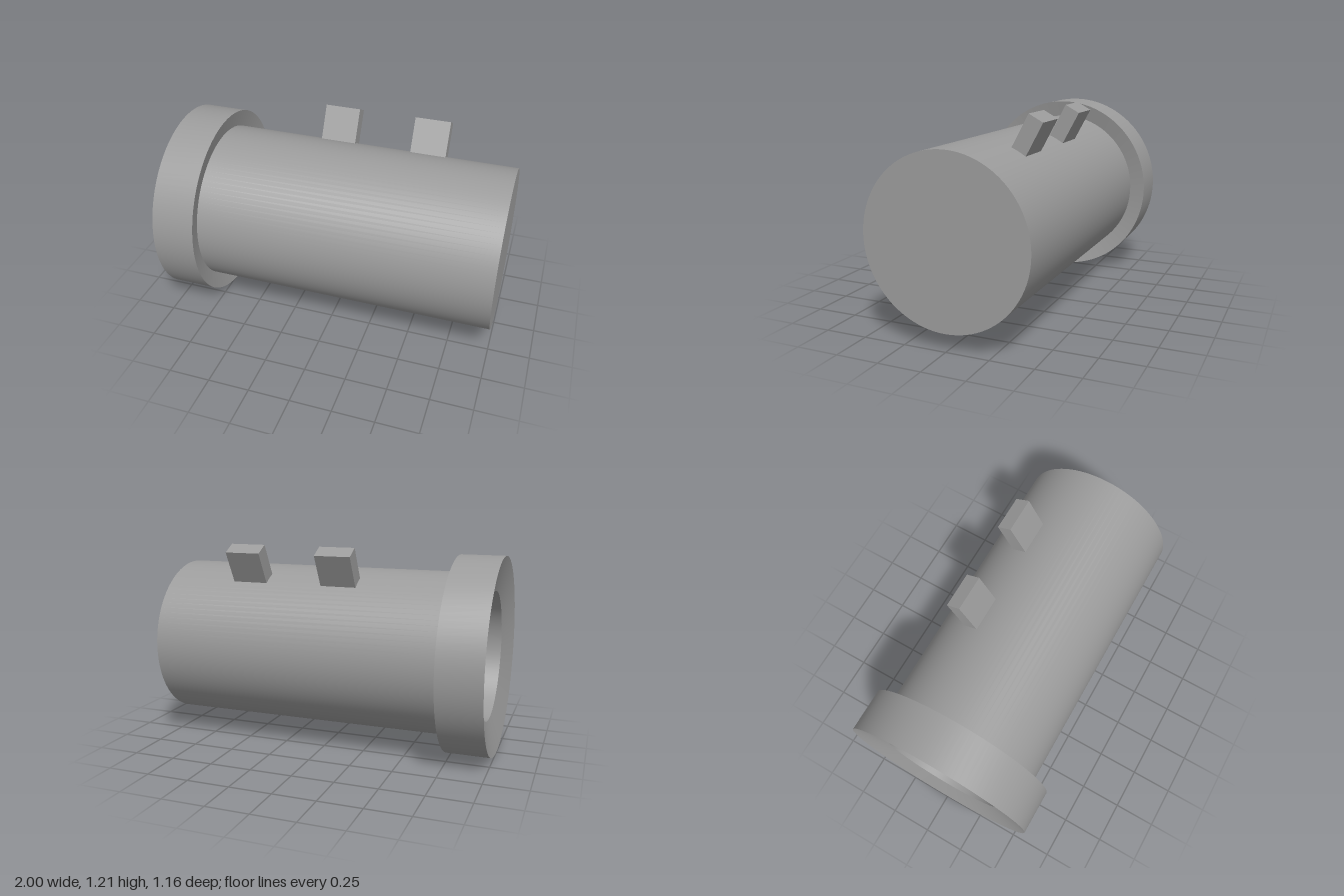
import * as THREE from 'three';
import { toCreasedNormals } from 'three/addons/utils/BufferGeometryUtils.js';

const AXIS_Y = 0.582;
const material = new THREE.MeshStandardMaterial({ color: 0x9c9c9c });

// Turned part about the x axis; profile points are [radius, x]
function turned(name, profile) {
  const points = profile.map(([r, x]) => new THREE.Vector2(r, x));
  const geometry = toCreasedNormals(new THREE.LatheGeometry(points, 96), 0.35);
  geometry.rotateZ(-Math.PI / 2);
  const mesh = new THREE.Mesh(geometry, material);
  mesh.name = name;
  return mesh;
}

export function createModel() {
  const model = new THREE.Group();
  model.name = 'tubeHousing';
  const assembly = new THREE.Group();
  assembly.name = 'assembly';
  assembly.position.y = AXIS_Y;
  model.add(assembly);

  // Solid barrel; its open end is covered by the collar
  assembly.add(turned('barrel', [[0.481, -0.763], [0.481, 1], [0, 1]]));

  // Collar with dished faces on both sides and a round recess
  assembly.add(turned('collar', [
    [0, -0.75], [0.38, -0.75], [0.38, -0.948], [0.582, -1], [0.582, -0.74], [0.481, -0.763],
  ]));

  // Two radial lugs, tilted towards the back
  const lugs = new THREE.Group();
  lugs.name = 'lugs';
  lugs.rotation.x = -THREE.MathUtils.degToRad(28.2);
  for (const x of [-0.094, 0.465]) {
    const lug = new THREE.Mesh(new THREE.BoxGeometry(0.214, 0.24, 0.094), material);
    lug.name = 'lug';
    lug.position.set(x, 0.567, 0);
    lugs.add(lug);
  }
  assembly.add(lugs);

  return model;
}
